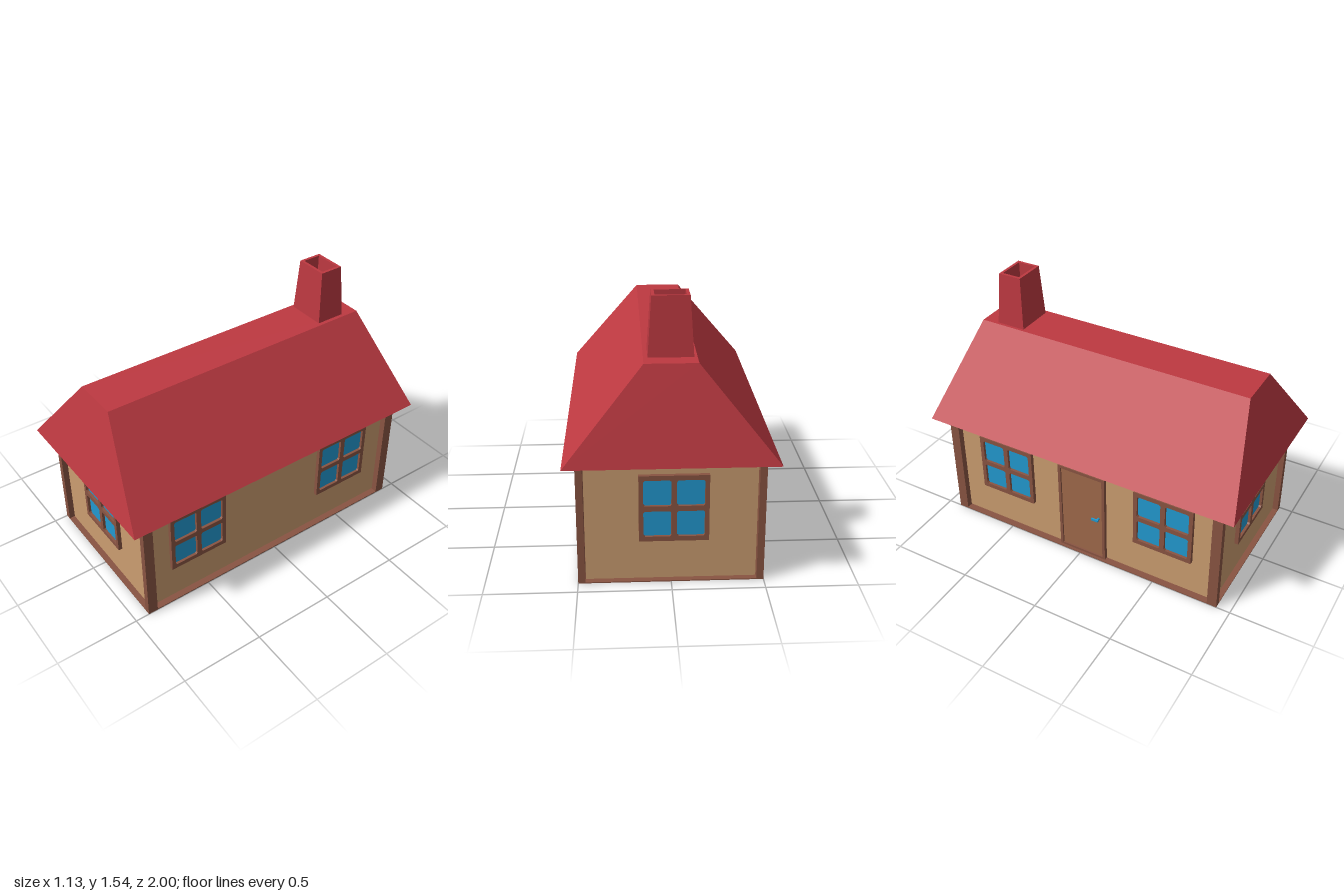
import * as THREE from 'three';

const mat = (name, color) => Object.assign(new THREE.MeshStandardMaterial({ color }), { name });

// Rectangular cross-section at height y: centre (cx, cz), half sizes hx, hz
const ring = (y, cx, cz, hx, hz) => [
  [cx - hx, y, cz + hz], [cx + hx, y, cz + hz], [cx + hx, y, cz - hz], [cx - hx, y, cz - hz],
];

// Joins rectangular cross-sections with flat faces and caps both ends
function loft(rings) {
  const pos = [];
  const quad = (a, b, c, d) => pos.push(...a, ...b, ...c, ...a, ...c, ...d);
  for (let i = 0; i < rings.length - 1; i++) {
    const lo = rings[i], hi = rings[i + 1];
    for (let k = 0; k < 4; k++) {
      const n = (k + 1) % 4;
      quad(lo[k], lo[n], hi[n], hi[k]);
    }
  }
  quad(...[...rings[0]].reverse());
  quad(...rings[rings.length - 1]);
  const g = new THREE.BufferGeometry();
  g.setAttribute('position', new THREE.Float32BufferAttribute(pos, 3));
  g.computeVertexNormals();
  return g;
}

// Rectangle outline with slightly cut corners
function rectPath(path, x0, y0, x1, y1, c = 0) {
  path.moveTo(x0 + c, y0);
  path.lineTo(x1 - c, y0);
  if (c) path.lineTo(x1, y0 + c);
  path.lineTo(x1, y1 - c);
  if (c) path.lineTo(x1 - c, y1);
  path.lineTo(x0 + c, y1);
  if (c) path.lineTo(x0, y1 - c);
  path.lineTo(x0, y0 + c);
  path.closePath();
  return path;
}

export function createModel() {
  const house = new THREE.Group();
  house.name = 'house';
  const wall = mat('plaster', 0xcb9d70);
  const timber = mat('timber', 0x895442);
  const doorWood = mat('doorWood', 0xa06a4a);
  const red = mat('roofRed', 0xbd3941);
  const blue = mat('glassBlue', 0x2299d0);

  const add = (parent, name, geo, material, x = 0, y = 0, z = 0) => {
    const m = new THREE.Mesh(geo, material);
    m.name = name;
    m.position.set(x, y, z);
    parent.add(m);
    return m;
  };
  const box = (parent, name, material, w, h, d, x, y, z) =>
    add(parent, name, new THREE.BoxGeometry(w, h, d), material, x, y, z);
  const group = (name, x, y, z, turn) => {
    const g = new THREE.Group();
    g.name = name;
    g.position.set(x, y, z);
    g.rotation.y = turn;
    house.add(g);
    return g;
  };

  // Floor plate, walls and corner posts
  const WX = 0.46, WZ = 0.88, EAVES = 0.703;
  box(house, 'floorPlate', timber, 1, 0.006, 1.83, 0, 0.003, 0);
  box(house, 'walls', wall, WX * 2, EAVES - 0.006, WZ * 2, 0, (EAVES + 0.006) / 2, 0);
  for (const sx of [-1, 1]) for (const sz of [-1, 1]) {
    box(house, 'cornerPost', timber, 0.038, EAVES, 0.06, sx * 0.481, EAVES / 2, sz * 0.885);
  }

  // Hipped roof with a flat top
  add(house, 'roof', loft([
    ring(EAVES, 0, 0, 0.565, 1),
    ring(1.22, 0, 0, 0.14, 0.87),
  ]), red);

  // Tapered hollow chimney
  add(house, 'chimney', loft([
    ring(1.2, -0.003, -0.68, 0.121, 0.091),
    ring(1.54, -0.003, -0.68, 0.099, 0.073),
    ring(1.54, -0.003, -0.68, 0.082, 0.056),
    ring(1.4, -0.003, -0.68, 0.082, 0.056),
  ]), red);

  // Four-pane window frame
  const frameShape = rectPath(new THREE.Shape(), -0.187, -0.19, 0.187, 0.19);
  for (const sx of [-1, 1]) for (const sy of [-1, 1]) {
    const cx = sx * 0.089, cy = sy * 0.089;
    frameShape.holes.push(rectPath(new THREE.Path(), cx - 0.074, cy - 0.074, cx + 0.074, cy + 0.074, 0.008));
  }
  const frameGeo = new THREE.ExtrudeGeometry(frameShape, { depth: 0.024, bevelEnabled: false });
  const addWindow = (name, x, z, turn) => {
    const g = group(name, x, 0.43, z, turn);
    add(g, 'windowFrame', frameGeo, timber);
    box(g, 'windowGlass', blue, 0.35, 0.35, 0.008, 0, 0, 0.004);
  };
  addWindow('frontWindow', -0.015, WZ, 0);
  addWindow('backWindow', -0.015, -WZ, Math.PI);
  for (const s of [1, -1]) for (const z of [0.545, -0.522]) {
    addWindow(s > 0 ? 'leftWindow' : 'rightWindow', s * WX, z, s * Math.PI / 2);
  }

  // Door on the right side, with frame, panel and handle
  const door = group('door', -WX, 0, 0.01, -Math.PI / 2);
  const doorShape = rectPath(new THREE.Shape(), -0.157, 0.006, 0.157, 0.62);
  doorShape.holes.push(rectPath(new THREE.Path(), -0.139, 0.02, 0.139, 0.602));
  add(door, 'doorFrame', new THREE.ExtrudeGeometry(doorShape, { depth: 0.024, bevelEnabled: false }), timber);
  box(door, 'doorPanel', doorWood, 0.28, 0.585, 0.014, 0, 0.311, 0.007);
  const stem = add(door, 'handleStem', new THREE.CylinderGeometry(0.008, 0.008, 0.022, 8), blue, 0.112, 0.31, 0.024);
  stem.rotation.x = Math.PI / 2;
  box(door, 'handleLever', blue, 0.045, 0.014, 0.01, 0.098, 0.31, 0.036);

  return house;
}
